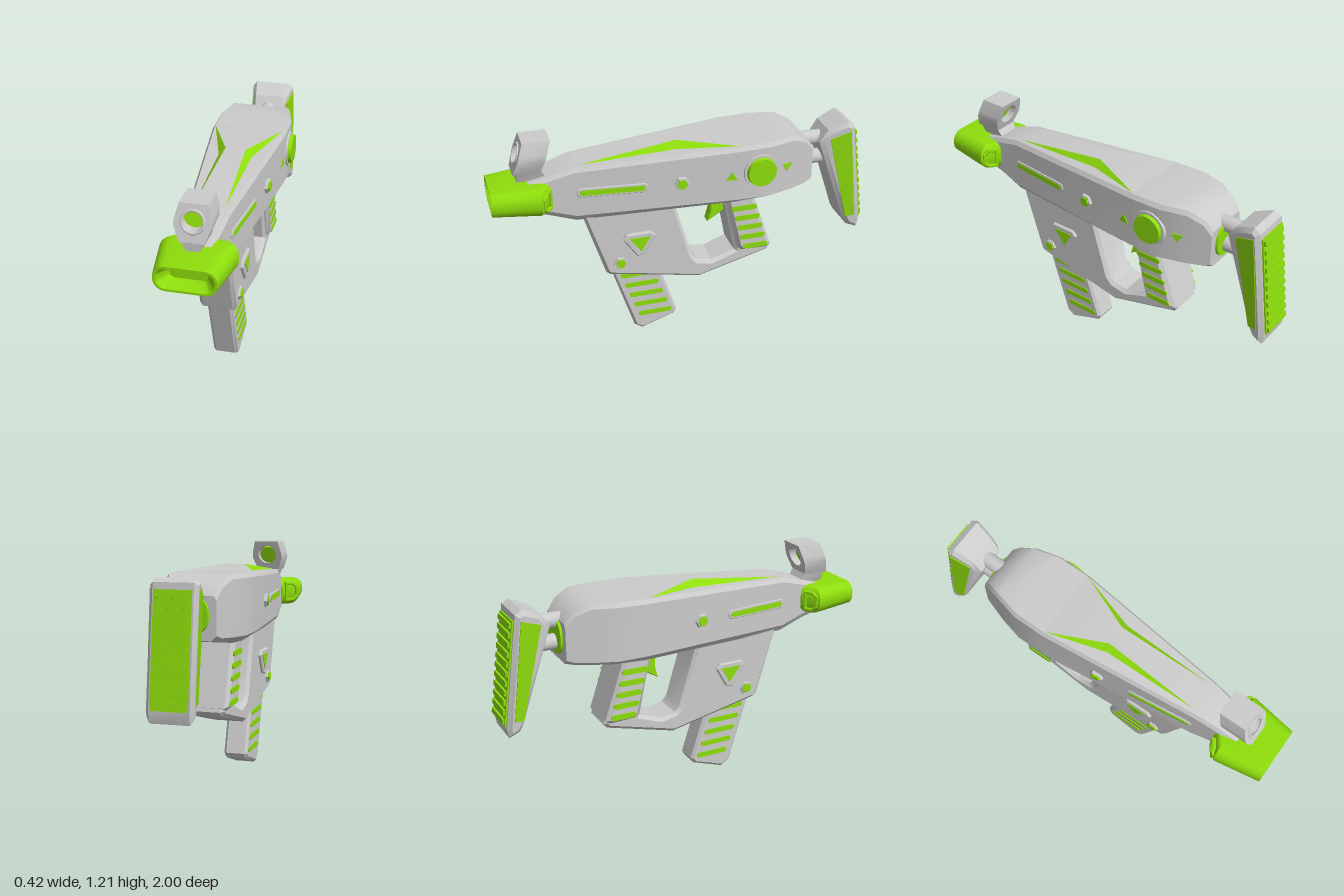
import * as THREE from 'three';
import { toCreasedNormals } from 'three/addons/utils/BufferGeometryUtils.js';

const grey = new THREE.MeshStandardMaterial({ color: 0xcccccc });
const green = new THREE.MeshStandardMaterial({ color: 0x8edd0c });
const greenThin = new THREE.MeshStandardMaterial({ color: 0x8edd0c, side: THREE.DoubleSide });

function add(parent, name, geo, mat, pos = [0, 0, 0]) {
  const mesh = new THREE.Mesh(toCreasedNormals(geo, 0.5), mat);
  mesh.name = name;
  mesh.position.set(...pos);
  parent.add(mesh);
  return mesh;
}

function fromTriangles(tris) {
  const geo = new THREE.BufferGeometry();
  geo.setAttribute('position', new THREE.Float32BufferAttribute(tris.flat(2), 3));
  geo.computeVertexNormals();
  return geo;
}

// Skin over rings (counterclockwise seen from +z), first ring in front, both ends capped
function loft(rings) {
  const tris = [], n = rings[0].length, last = rings[rings.length - 1];
  for (let i = 0; i < rings.length - 1; i++) {
    for (let j = 0; j < n; j++) {
      const k = (j + 1) % n;
      const a = rings[i][j], b = rings[i][k], c = rings[i + 1][k], d = rings[i + 1][j];
      tris.push([a, d, c], [a, c, b]);
    }
  }
  for (let j = 1; j < n - 1; j++) {
    tris.push([rings[0][0], rings[0][j], rings[0][j + 1]], [last[0], last[j + 1], last[j]]);
  }
  return fromTriangles(tris);
}

// Rounded-rectangle ring at depth z
function roundRing(w, h, y, z) {
  const ring = [], r = Math.min(w, h) * 0.9, seg = 6;
  [[1, -1], [1, 1], [-1, 1], [-1, -1]].forEach(([sx, sy], q) => {
    for (let i = 0; i <= seg; i++) {
      const t = (q - 1 + i / seg) * Math.PI / 2;
      ring.push([sx * (w - r) + r * Math.cos(t), y + sy * (h - r) + r * Math.sin(t), z]);
    }
  });
  return ring;
}

const toShape = pts => new THREE.Shape(pts.map(p => new THREE.Vector2(...p)));

// Side-profile plate: outline in (z, y), thickness centred on x = 0
function plate(outline, half, bevel = 0, holes = []) {
  const shape = toShape(outline);
  shape.holes.push(...holes.map(toShape));
  const geo = new THREE.ExtrudeGeometry(shape, {
    depth: 2 * (half - bevel), bevelEnabled: bevel > 0, bevelSize: bevel,
    bevelThickness: bevel, bevelOffset: -bevel, bevelSegments: 1
  });
  return geo.translate(0, 0, bevel - half).rotateY(-Math.PI / 2);
}

// Rounded slot outline centred on (z, y)
function pill(z, y, len, h) {
  const pts = [], r = h / 2, d = len / 2 - r;
  for (const end of [1, -1]) {
    for (let i = 0; i <= 8; i++) {
      const t = (i / 8 - 0.5) * Math.PI;
      pts.push([z + end * (d + r * Math.cos(t)), y + end * r * Math.sin(t)]);
    }
  }
  return pts;
}

// Short disc or hexagon facing +x
const stud = (r, depth, sides, r2) =>
  new THREE.CylinderGeometry(r2, r, depth, sides).rotateZ(-Math.PI / 2);

function bolt(parent, pos, r) {
  add(parent, 'boltCollar', stud(r, 0.02, 6, r * 0.85), grey, pos);
  add(parent, 'boltHead', stud(r * 0.78, 0.034, 6, r * 0.65), green, pos);
}

// Fittings on the model's left, mirrored for the right
function sideFittings() {
  const g = new THREE.Group();
  const flank = new THREE.Group(); // follows the taper of the upper body
  flank.name = 'flankFittings';
  flank.position.set(0.151, 0, 0.165);
  flank.rotation.y = -0.11;
  g.add(flank);
  add(flank, 'slotFrame', plate(pill(0.235, 0.93, 0.36, 0.05), 0.006, 0.003), grey);
  add(flank, 'slotInlay', plate(pill(0.235, 0.93, 0.33, 0.028), 0.009), green);
  bolt(flank, [0.004, 0.935, -0.115], 0.042);
  bolt(g, [0.095, 0.475, 0.365], 0.04);
  add(g, 'badgeFrame', plate([[0.33, 0.645], [0.2, 0.645], [0.175, 0.62], [0.235, 0.515], [0.275, 0.505], [0.35, 0.615]], 0.015, 0.006), grey, [0.095, 0, 0]);
  add(g, 'badgeInlay', plate([[0.318, 0.62], [0.205, 0.62], [0.255, 0.535]], 0.018), green, [0.095, 0, 0]);
  for (let i = 0; i < 5; i++) {
    add(g, 'gripSlot', plate(pill(-0.305 - i * 0.017, 0.71 - i * 0.06, 0.14, 0.03), 0.004), green, [0.118, 0, 0]);
    add(g, 'magazineSlot', plate(pill(0.27 - i * 0.0235, 0.37 - i * 0.065, 0.185, 0.028), 0.004), green, [0.065, 0, 0]);
  }
  // D-shaped rim on the slanted back of the muzzle
  const rimOutline = [[-0.04, -0.055], [0.01, -0.055], [0.04, -0.03], [0.04, 0.03], [0.01, 0.055], [-0.04, 0.055]];
  const rimHole = rimOutline.map(([z, y]) => [z * 0.62, y * 0.7]);
  add(g, 'muzzleVent', plate(rimOutline, 0.01, 0.003, [rimHole]), green, [0.144, 0.925, 0.73]).rotation.y = 0.967;
  return g;
}

// Stock narrows from its rear line toward the front
function taperStock(geo) {
  const p = geo.attributes.position;
  for (let i = 0; i < p.count; i++) {
    const rear = -0.912 - (1.1 - p.getY(i)) * 0.13;
    p.setX(i, p.getX(i) * (1 - 0.25 * THREE.MathUtils.clamp((p.getZ(i) - rear) / 0.17, 0, 1)));
  }
  return geo;
}

export function createModel() {
  const model = new THREE.Group();
  const g = new THREE.Group();
  g.name = 'blaster';
  g.position.x = -0.012;
  model.add(g);

  // Upper body: z, half width, top, lower side edge, bottom
  const stations = [
    [0.9, 0.08, 0.97, 0.88, 0.85], [0.72, 0.088, 1.025, 0.84, 0.81], [0.58, 0.105, 1.065, 0.8, 0.765],
    [-0.25, 0.197, 1.105, 0.81, 0.76], [-0.42, 0.197, 1.11, 0.81, 0.77], [-0.55, 0.165, 1.112, 0.815, 0.79],
    [-0.63, 0.138, 1.075, 0.82, 0.8], [-0.672, 0.125, 1.02, 0.835, 0.81]
  ];
  add(g, 'upperBody', loft(stations.map(([z, w, top, edge, bot]) => {
    const b = Math.min(0.125, w * 0.78);
    const half = [[b, bot], [w, edge], [w, top - 0.022], [w - 0.014, top]];
    return [...half.map(([x, y]) => [x, y, z]), ...half.reverse().map(([x, y]) => [-x, y, z])];
  })), grey);

  // Raised top panel with green flanks
  const m = ([x, y, z]) => [-x, y, z];
  const rear = [0.182, 1.108, -0.25], elbow = [0.052, 1.125, 0.05], front = [0.075, 1.069, 0.56], low = [0.085, 1.09, 0.06];
  add(g, 'topPanel', fromTriangles([
    [rear, m(rear), m(elbow)], [rear, m(elbow), elbow], [elbow, m(elbow), m(front)], [elbow, m(front), front]
  ]), grey);
  add(g, 'topPanelFlanks', fromTriangles([
    [rear, elbow, low], [elbow, front, low], [m(rear), m(low), m(elbow)], [m(elbow), m(low), m(front)]
  ]), greenThin);

  // Muzzle with a recessed opening
  add(g, 'muzzle', loft([
    roundRing(0.09, 0.03, 0.925, 0.93), roundRing(0.125, 0.047, 0.925, 0.985), roundRing(0.135, 0.052, 0.925, 1),
    roundRing(0.148, 0.063, 0.925, 1), roundRing(0.187, 0.075, 0.925, 0.76), roundRing(0.1, 0.075, 0.925, 0.7)
  ]), green);

  // Lower body with trigger opening, grip, trigger, magazine
  add(g, 'lowerBody', plate(
    [[0.56, 0.81], [0.44, 0.42], [0.42, 0.405], [-0.07, 0.303], [-0.45, 0.405], [-0.472, 0.43], [-0.345, 0.81]], 0.095, 0.018,
    [[[0.065, 0.765], [-0.2, 0.765], [-0.265, 0.44], [-0.14, 0.395], [-0.06, 0.41], [-0.032, 0.44]]]), grey);
  add(g, 'grip', plate([[-0.2, 0.8], [-0.278, 0.46], [-0.3, 0.44], [-0.44, 0.435], [-0.468, 0.45], [-0.35, 0.8]], 0.118, 0.02), grey);
  add(g, 'trigger', plate([[-0.14, 0.77], [-0.23, 0.77], [-0.22, 0.66], [-0.13, 0.605], [-0.148, 0.67]], 0.03, 0.006), green);
  add(g, 'magazine', plate([[0.43, 0.48], [0.29, 0.035], [0.245, 0.005], [0.07, 0.065], [0.052, 0.095], [0.175, 0.48]], 0.065, 0.014), grey);

  // Mirrored fittings
  for (const s of [1, -1]) {
    const side = sideFittings();
    side.name = s > 0 ? 'leftFittings' : 'rightFittings';
    side.scale.x = s;
    g.add(side);
  }

  // Selector knob and its markers, left side only
  add(g, 'knobRing', stud(0.098, 0.03, 32, 0.092), grey, [0.19, 0.96, -0.36]);
  add(g, 'knob', stud(0.085, 0.05, 32, 0.075), green, [0.199, 0.96, -0.36]);
  for (const [z, s, x, turn] of [[-0.205, 1, 0.192, -0.11], [-0.51, -1, 0.176, 0.24]]) {
    const mark = plate([[-0.03, -0.022 * s], [0.03, -0.022 * s], [0, 0.022 * s]], 0.004);
    add(g, 'knobMarker', mark, green, [x, 0.95, z]).rotation.y = turn;
  }

  // Sight, leaning back, with a lens in a through hole
  const sightShape = toShape([[-0.06, 1.05], [0.06, 1.05], [0.088, 1.12], [0.086, 1.15], [0.068, 1.217], [-0.068, 1.217], [-0.086, 1.15], [-0.088, 1.12]]);
  sightShape.holes.push(new THREE.Path().absarc(0, 1.14, 0.052, 0, Math.PI * 2, true));
  const sightGeo = new THREE.ExtrudeGeometry(sightShape, { depth: 0.138, bevelEnabled: false, curveSegments: 24 });
  const p = sightGeo.attributes.position;
  for (let i = 0; i < p.count; i++) p.setZ(i, p.getZ(i) + 0.738 - 0.34 * (p.getY(i) - 1.06));
  add(g, 'sight', sightGeo, grey);
  add(g, 'sightLens', new THREE.CylinderGeometry(0.053, 0.053, 0.05, 24).rotateX(Math.PI / 2 - 0.33), green, [0, 1.14, 0.78]);
  add(g, 'sightRing', new THREE.TorusGeometry(0.052, 0.007, 8, 32).rotateX(-0.33), grey, [0, 1.14, 0.85]);
  add(g, 'sightMount', loft([
    [[-0.03, 0.99, 0.86], [0.03, 0.99, 0.86], [0.06, 1.055, 0.86], [-0.06, 1.055, 0.86]],
    [[-0.05, 0.99, 0.7], [0.05, 0.99, 0.7], [0.06, 1.055, 0.74], [-0.06, 1.055, 0.74]]
  ]), grey);

  // Rear socket and twin rods
  add(g, 'rearSocket', loft([roundRing(0.095, 0.1, 0.93, -0.64), roundRing(0.085, 0.09, 0.93, -0.684)]), green);
  for (const y of [1.01, 0.898]) {
    add(g, 'stockRod', new THREE.CylinderGeometry(0.04, 0.04, 0.2, 20).rotateX(Math.PI / 2), grey, [0, y, -0.74]);
  }

  // Shoulder stock with inset side panels and a ribbed pad
  add(g, 'stock', taperStock(plate(
    [[-0.73, 1.01], [-0.775, 1.078], [-0.875, 1.12], [-0.91, 1.1], [-0.986, 0.525], [-0.975, 0.472], [-0.915, 0.495], [-0.895, 0.53]], 0.12, 0.022)), grey);
  add(g, 'stockSidePanels', taperStock(plate([[-0.782, 1.03], [-0.888, 1.07], [-0.948, 0.56], [-0.898, 0.555]], 0.125)), green);
  const pad = new THREE.Group();
  pad.name = 'shoulderPad';
  pad.position.set(0, 0.8, -0.948);
  pad.rotation.x = 0.132;
  g.add(pad);
  add(pad, 'padBase', new THREE.BoxGeometry(0.18, 0.54, 0.02), green);
  for (let i = 0; i < 11; i++) {
    add(pad, 'padRib', new THREE.BoxGeometry(0.165, 0.026, 0.03), green, [0, -0.245 + i * 0.049, -0.006]);
  }
  return model;
}
